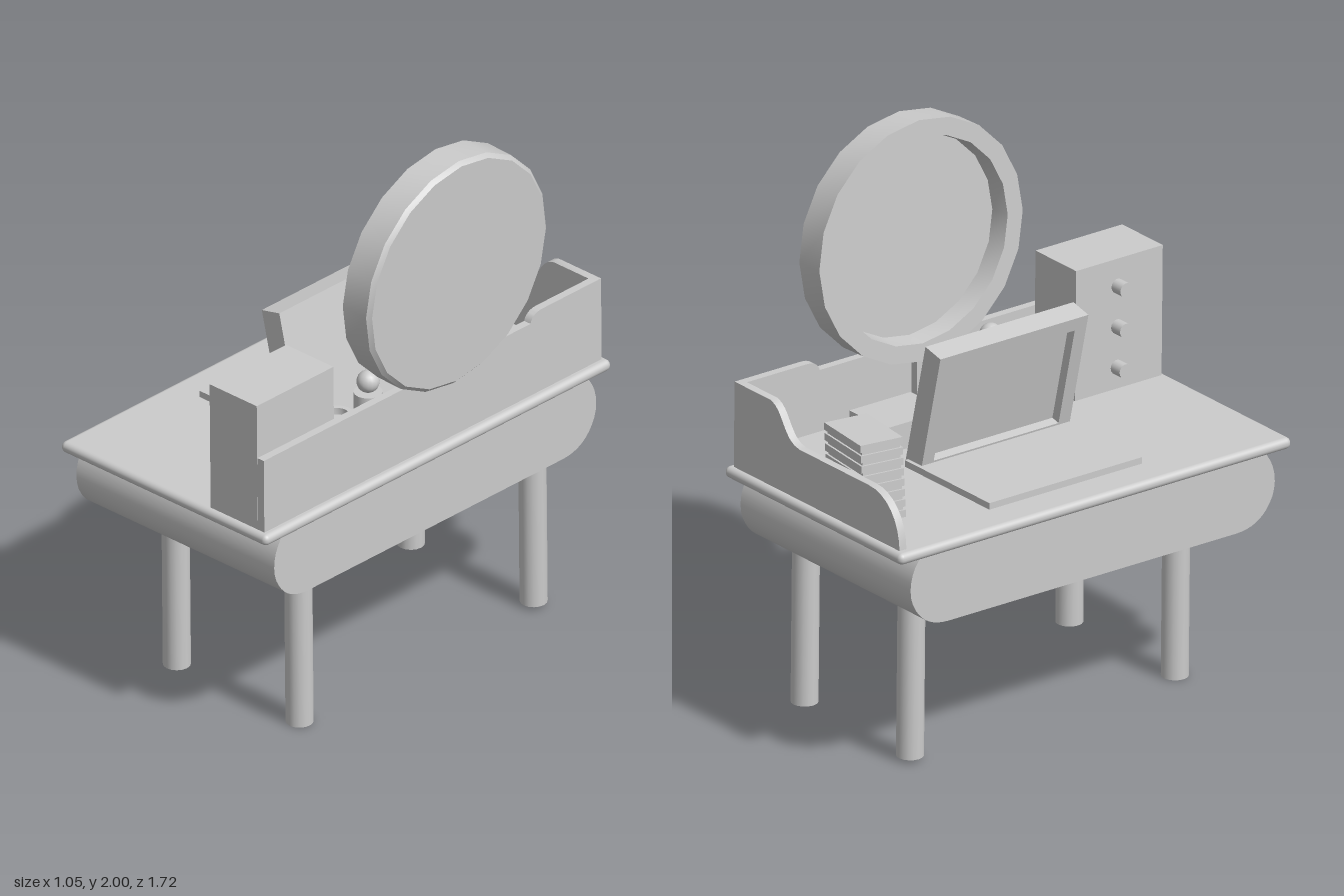
import * as THREE from 'three';
import { toCreasedNormals } from 'three/addons/utils/BufferGeometryUtils.js';
import { RoundedBoxGeometry } from 'three/addons/geometries/RoundedBoxGeometry.js';

const grey = new THREE.MeshStandardMaterial({ color: 0xcccccc });

export function createModel() {
  const model = new THREE.Group();
  model.name = 'dressingDesk';

  const add = (geometry, name, x = 0, y = 0, z = 0, parent = model) => {
    const mesh = new THREE.Mesh(geometry, grey);
    mesh.name = name;
    mesh.position.set(x, y, z);
    parent.add(mesh);
    return mesh;
  };
  // Box given by its lower and upper corners
  const box = (name, a, b, parent) => add(
    new THREE.BoxGeometry(b[0] - a[0], b[1] - a[1], b[2] - a[2]), name,
    (a[0] + b[0]) / 2, (a[1] + b[1]) / 2, (a[2] + b[2]) / 2, parent);
  const extrude = (shape, depth) => toCreasedNormals(
    new THREE.ExtrudeGeometry(shape, { depth, bevelEnabled: false, curveSegments: 8 }), 0.6);
  // Profile drawn in (z, y), extruded from x = right back towards -x
  const extrudeX = (shape, depth, name, right) =>
    add(extrude(shape, depth).rotateY(-Math.PI / 2), name, right);

  // Four round legs
  for (const x of [-0.23, 0.35]) for (const z of [-0.595, 0.55])
    add(new THREE.CylinderGeometry(0.048, 0.048, 0.62, 16), 'leg', x, 0.31, z);

  // Desk body with rounded ends
  const body = new THREE.Shape();
  body.moveTo(-0.735, 0.86);
  body.lineTo(-0.62, 0.86);
  body.lineTo(0.735, 0.86);
  body.bezierCurveTo(0.79, 0.81, 0.805, 0.72, 0.765, 0.66);
  body.quadraticCurveTo(0.72, 0.585, 0.62, 0.585);
  body.lineTo(-0.62, 0.585);
  body.quadraticCurveTo(-0.72, 0.585, -0.765, 0.66);
  body.bezierCurveTo(-0.805, 0.72, -0.79, 0.81, -0.735, 0.86);
  extrudeX(body, 0.935, 'deskBody', 0.4675);

  // Table top with a rounded edge
  add(new RoundedBoxGeometry(0.975, 0.042, 1.695, 3, 0.02), 'tableTop', 0, 0.868, 0);

  // Long wall with a raised end
  const wall = new THREE.Shape();
  wall.moveTo(0.825, 0.88);
  wall.lineTo(0.825, 1.168);
  wall.lineTo(-0.48, 1.168);
  wall.quadraticCurveTo(-0.49, 1.204, -0.54, 1.204);
  wall.lineTo(-0.8, 1.204);
  wall.lineTo(-0.8, 0.88);
  extrudeX(wall, 0.03, 'longWall', 0.459);

  // Short wall with a swept profile
  const side = new THREE.Shape();
  side.moveTo(-0.453, 0.88);
  side.bezierCurveTo(-0.45, 1.0, -0.38, 1.075, -0.28, 1.075);
  side.lineTo(0.1, 1.075);
  side.bezierCurveTo(0.19, 1.08, 0.19, 1.19, 0.26, 1.204);
  side.lineTo(0.459, 1.204);
  side.lineTo(0.459, 0.88);
  add(extrude(side, 0.03), 'shortWall', 0, 0, -0.825);

  // Stepped shelf along the long wall
  box('shelf', [0.23, 0.88, -0.35], [0.43, 0.985, 0.45]);
  box('lowShelf', [0.23, 0.88, -0.795], [0.43, 0.94, -0.35]);

  // Drawer tower with knobs
  box('drawerTower', [0.205, 0.88, 0.45], [0.428, 1.37, 0.825]);
  for (const y of [0.97, 1.12, 1.27])
    add(new THREE.CylinderGeometry(0.026, 0.026, 0.06, 14).rotateZ(Math.PI / 2), 'drawerKnob', 0.186, y, 0.63);

  // Dished round mirror on a short post
  const rim = [[0, -0.062], [0.425, -0.062], [0.44, -0.048], [0.44, 0.062], [0.375, 0.062], [0.365, -0.01], [0, -0.01]]
    .map(([r, y]) => new THREE.Vector2(r, y));
  const mirror = add(
    toCreasedNormals(new THREE.LatheGeometry(rim, 20), 0.6).rotateZ(Math.PI / 2),
    'roundMirror', 0.452, 1.553, -0.077);
  mirror.rotation.z = -0.04;
  box('mirrorPost', [0.395, 0.98, -0.085], [0.425, 1.16, -0.045]);

  // Bottle with a ball stopper, and a small jar
  add(new THREE.CylinderGeometry(0.05, 0.05, 0.14, 18), 'bottle', 0.3285, 1.055, 0.18);
  add(new THREE.SphereGeometry(0.04, 16, 12), 'bottleStopper', 0.3285, 1.165, 0.18);
  const jar = [[0, 0], [0.045, 0], [0.045, 0.1], [0.058, 0.11], [0.058, 0.145], [0.04, 0.145], [0.04, 0.12], [0, 0.12]]
    .map(([r, y]) => new THREE.Vector2(r, y));
  add(toCreasedNormals(new THREE.LatheGeometry(jar, 18), 0.6), 'jar', 0.365, 0.985, 0.37);

  // Flat pad and leaning framed panel
  box('pad', [-0.355, 0.885, -0.36], [0.11, 0.913, 0.3]);
  const panel = new THREE.Group();
  panel.name = 'leaningPanel';
  panel.position.set(0.128, 0.89, -0.025);
  panel.rotation.z = 0.222;
  model.add(panel);
  box('panelBack', [-0.05, 0, -0.32], [0, 0.48, 0.32], panel);
  for (const s of [-1, 1]) {
    box('panelFrame', [-0.085, 0, s * 0.295 - 0.025], [-0.05, 0.48, s * 0.295 + 0.025], panel);
    box('panelFrame', [-0.085, 0.215 + s * 0.215, -0.27], [-0.05, 0.265 + s * 0.215, 0.27], panel);
  }

  // Leaning stack of books
  const books = new THREE.Group();
  books.name = 'bookStack';
  books.position.set(-0.1, 0.885, -0.695);
  books.rotation.set(0, -0.15, -0.03);
  model.add(books);
  for (let i = 0; i < 8; i++) {
    const y = 0.02 + i * 0.037;
    add(new THREE.BoxGeometry(0.25, 0.026, 0.165), 'book', 0.003 * i - 0.01, y, 0, books);
    if (i < 7) add(new THREE.BoxGeometry(0.235, 0.011, 0.15), 'bookGap', 0.003 * i - 0.01, y + 0.0185, 0, books);
  }

  // Slight turn and lean of the whole piece
  model.position.set(-0.0125, 0.0065, -0.015);
  model.rotation.set(0.0115, -0.031, 0);
  const root = new THREE.Group();
  root.name = 'vanityDesk';
  root.add(model);
  return root;
}
